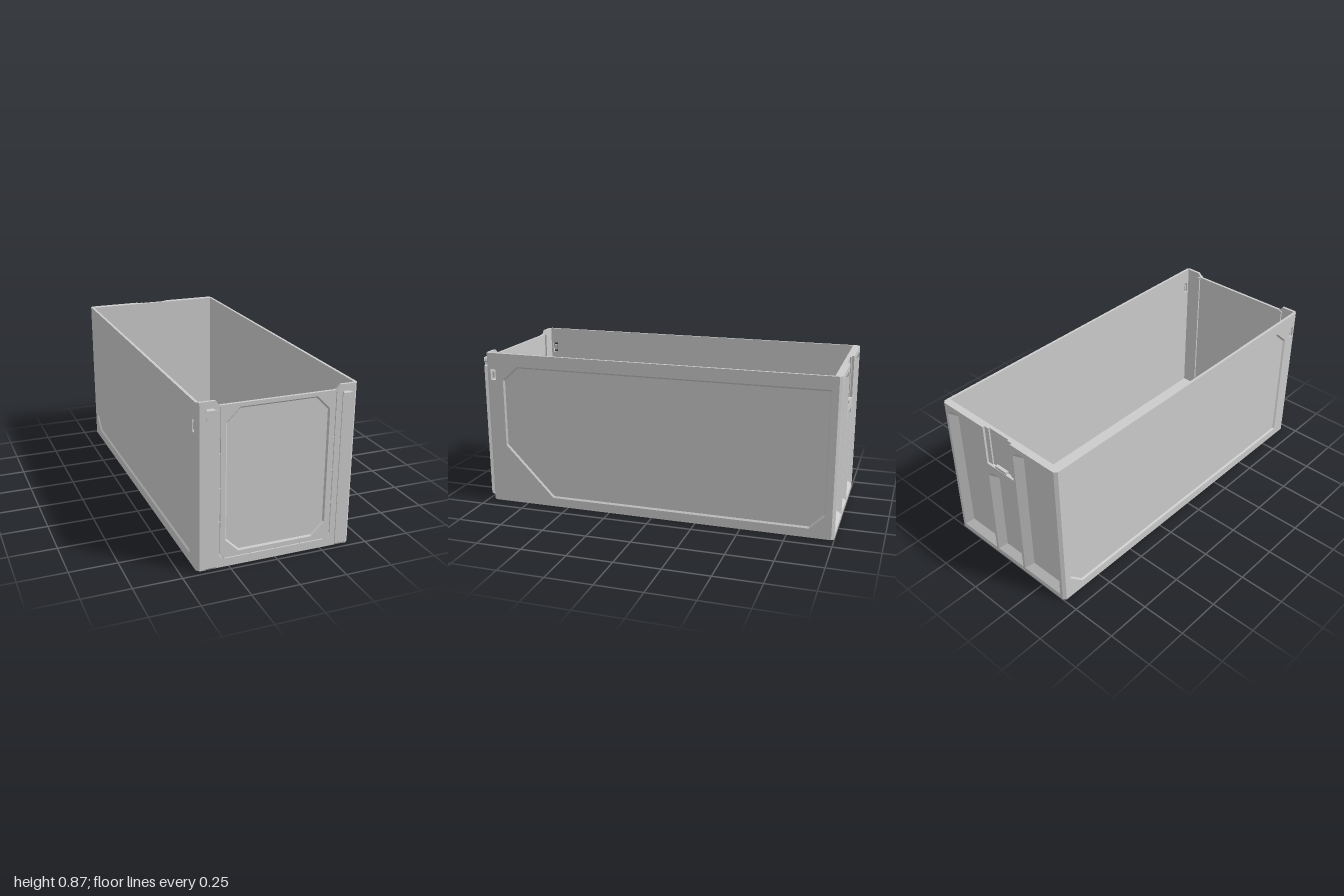
import * as THREE from 'three';
import { mergeGeometries } from 'three/addons/utils/BufferGeometryUtils.js';

const material = new THREE.MeshStandardMaterial({ color: 0xcccccc, side: THREE.DoubleSide });
const H = 0.87, X = 0.417, C = 0.015, FRONT = 0.97, BACK = -1;

const rect = (x0, y0, x1, y1) => [[x0, y0], [x1, y0], [x1, y1], [x0, y1]];
const mirrorX = pts => pts.map(([x, y]) => [-x, y]).reverse();

// Shrink a convex counter-clockwise outline by d
function inset(pts, d) {
  const n = pts.length;
  return pts.map((p, i) => {
    const a = pts[(i + n - 1) % n], b = pts[(i + 1) % n];
    const u = new THREE.Vector2(p[0] - a[0], p[1] - a[1]).normalize();
    const v = new THREE.Vector2(b[0] - p[0], b[1] - p[1]).normalize();
    const k = d / (1 + u.dot(v));
    return [p[0] - (u.y + v.y) * k, p[1] + (u.x + v.x) * k];
  });
}

// Band of flat quads joining two matching outlines at different depths
function band(a, za, b, zb) {
  const pos = [];
  a.forEach((_, i) => {
    const j = (i + 1) % a.length;
    const A = [...a[i], za], B = [...a[j], za], D = [...b[j], zb], E = [...b[i], zb];
    pos.push(...A, ...B, ...D, ...A, ...D, ...E);
  });
  const g = new THREE.BufferGeometry();
  g.setAttribute('position', new THREE.Float32BufferAttribute(pos, 3));
  g.computeVertexNormals();
  return g;
}

// Flat face with holes
function face(outline, holes, z, flip = false) {
  const toVectors = pts => pts.map(p => new THREE.Vector2(...p));
  const shape = new THREE.Shape(toVectors(outline));
  shape.holes = holes.map(h => new THREE.Path(toVectors(h)));
  let g = new THREE.ShapeGeometry(shape);
  if (flip) {
    const index = g.index.array;
    for (let i = 0; i < index.length; i += 3) [index[i], index[i + 1]] = [index[i + 1], index[i]];
  }
  g = g.toNonIndexed().translate(0, 0, z);
  g.deleteAttribute('uv');
  g.computeVertexNormals();
  return g;
}

function addMesh(parent, name, geometry) {
  const mesh = new THREE.Mesh(geometry, material);
  mesh.name = name;
  parent.add(mesh);
  return mesh;
}

function addBox(parent, name, x0, x1, y0, y1, z0, z1) {
  const g = new THREE.BoxGeometry(x1 - x0, y1 - y0, z1 - z0);
  return addMesh(parent, name, g.translate((x0 + x1) / 2, (y0 + y1) / 2, (z0 + z1) / 2));
}

// Upright wall with its outer face at local z = 0, sloped pockets and through holes
function wall(outline, thickness, pockets, holes = []) {
  const parts = [
    face(outline, [...pockets.map(p => p.rim), ...holes], 0),
    face(outline, holes, -thickness, true),
    band(outline, -thickness, outline, 0),
    ...holes.map(h => band(h, 0, h, -thickness)),
  ];
  for (const { rim, depth, slope } of pockets) {
    const floor = inset(rim, slope);
    parts.push(band(rim, 0, floor, -depth), face(floor, [], -depth));
  }
  return mergeGeometries(parts);
}

export function createModel() {
  const model = new THREE.Group();
  model.name = 'openContainer';

  // Floor
  addBox(model, 'floor', -X + C, X - C, 0, 0.02, BACK + 0.02, FRONT - C);

  // Front wall: lowered rim, octagonal panel and a border of short grooves
  const octagon = [[-0.2, 0.075], [0.2, 0.075], [0.27, 0.145], [0.27, 0.755],
    [0.2, 0.825], [-0.2, 0.825], [-0.27, 0.755], [-0.27, 0.145]];
  const grooves = [];
  const stops = [0.07, 0.247, 0.425, 0.602, 0.838];
  for (let i = 0; i < 4; i++) {
    const side = rect(0.296, stops[i] + 0.002, 0.304, stops[i + 1] - 0.002);
    const x = -0.274 + i * 0.137;
    grooves.push(side, mirrorX(side), rect(x + 0.002, 0.045, x + 0.135, 0.052));
  }
  const corner = [[0.279, 0.045], [0.304, 0.068], [0.296, 0.068], [0.279, 0.053]];
  grooves.push(corner, mirrorX(corner));
  const frontOutline = [[-X + C, 0], [X - C, 0], [X - C, H], [0.322, H], [0.3, 0.845],
    [-0.3, 0.845], [-0.322, H], [-X + C, H]];
  addMesh(model, 'frontWall', wall(frontOutline, C, [
    { rim: octagon, depth: 0.008, slope: 0.008 },
    ...grooves.map(rim => ({ rim, depth: 0.005, slope: 0.001 })),
  ])).position.z = FRONT;

  // Back wall: three deep sloped pockets and a notch in the rim
  const pocket = (x0, x1, top) => ({
    rim: [[x0, 0.03], [x1, 0.03], [x1, top - 0.03], [x1 - 0.03, top], [x0 + 0.03, top], [x0, top - 0.03]],
    depth: 0.034, slope: 0.04,
  });
  const backOutline = [[-X + C, 0], [X - C, 0], [X - C, H], [0.1, H], [0.1, 0.64],
    [-0.1, 0.64], [-0.1, H], [-X + C, H]];
  const back = addMesh(model, 'backWall', wall(backOutline, 0.04,
    [pocket(-0.385, -0.115, 0.84), pocket(-0.1, 0.1, 0.59), pocket(0.115, 0.385, 0.84)]));
  back.rotation.y = Math.PI;
  back.position.z = BACK;

  // Latch seat inside the notch
  addBox(model, 'latchPlate', -0.1, 0.1, 0.64, H, -0.98, -0.96);
  addBox(model, 'latchLedge', -0.04, 0.04, 0.64, 0.655, -0.998, -0.98);
  for (const s of [-1, 1]) addBox(model, 'latchRib', s * 0.085 - 0.015, s * 0.085 + 0.015, 0.64, H, -0.988, -0.98);

  // Side walls: shallow panels and a small slot near the front
  const rightPanel = [[-0.87, 0.34], [-0.59, 0.05], [0.87, 0.05], [0.95, 0.13],
    [0.95, 0.8], [-0.78, 0.8], [-0.87, 0.72]];
  const leftPanel = [[-0.95, 0.13], [-0.87, 0.05], [0.87, 0.05], [0.87, 0.72],
    [0.78, 0.8], [-0.95, 0.8]];
  for (const [s, rim, name] of [[1, rightPanel, 'slantedSideWall'], [-1, leftPanel, 'plainSideWall']]) {
    const ends = [-s * (FRONT - C), -s * (BACK + C)].sort((a, b) => a - b);
    const u = -s * 0.928;
    const slot = inset(rect(u - 0.017, 0.715, u + 0.017, 0.78), 0.002);
    const side = addMesh(model, name, wall(rect(ends[0], 0, ends[1], H), C,
      [{ rim, depth: 0.008, slope: 0.009 }], [slot]));
    side.rotation.y = s * Math.PI / 2;
    side.position.x = s * X;
    addBox(model, 'slotTab', s * (X - 0.008) - 0.005, s * (X - 0.008) + 0.005, 0.73, 0.765, 0.921, 0.935);
  }

  // Chamfered upright corners
  for (const s of [-1, 1]) {
    for (const [z, inward] of [[FRONT, -C], [BACK, C]]) {
      const shape = new THREE.Shape([
        new THREE.Vector2(s * (X - C), -z),
        new THREE.Vector2(s * X, -z - inward),
        new THREE.Vector2(s * (X - C), -z - inward),
      ]);
      const g = new THREE.ExtrudeGeometry(shape, { depth: H, bevelEnabled: false });
      addMesh(model, 'cornerChamfer', g.rotateX(-Math.PI / 2));
    }
    // Rib behind each edge of the front panel
    addBox(model, 'innerRib', s * 0.313 - 0.008, s * 0.313 + 0.008, 0.02, 0.845, 0.945, FRONT - C);
  }

  // Dovetail rails on the front, with a small notch and a sloped foot
  const railFront = [[-0.032, 0.025], [0.032, 0.025], [0.032, 0.785], [0.025, 0.791], [0.025, 0.807],
    [0.032, 0.813], [0.032, 0.828], [0.026, 0.835], [-0.026, 0.835], [-0.032, 0.828]];
  const railBack = railFront.map(([x, y]) => [x * 0.55, y === 0.025 ? 0 : y]);
  const railGeometry = mergeGeometries([
    face(railFront, [], 1),
    band(railBack, FRONT, railFront, 1),
  ]).translate(0.352, 0, 0);
  for (const s of [-1, 1]) addMesh(model, 'dovetailRail', railGeometry).scale.x = s;

  return model;
}
